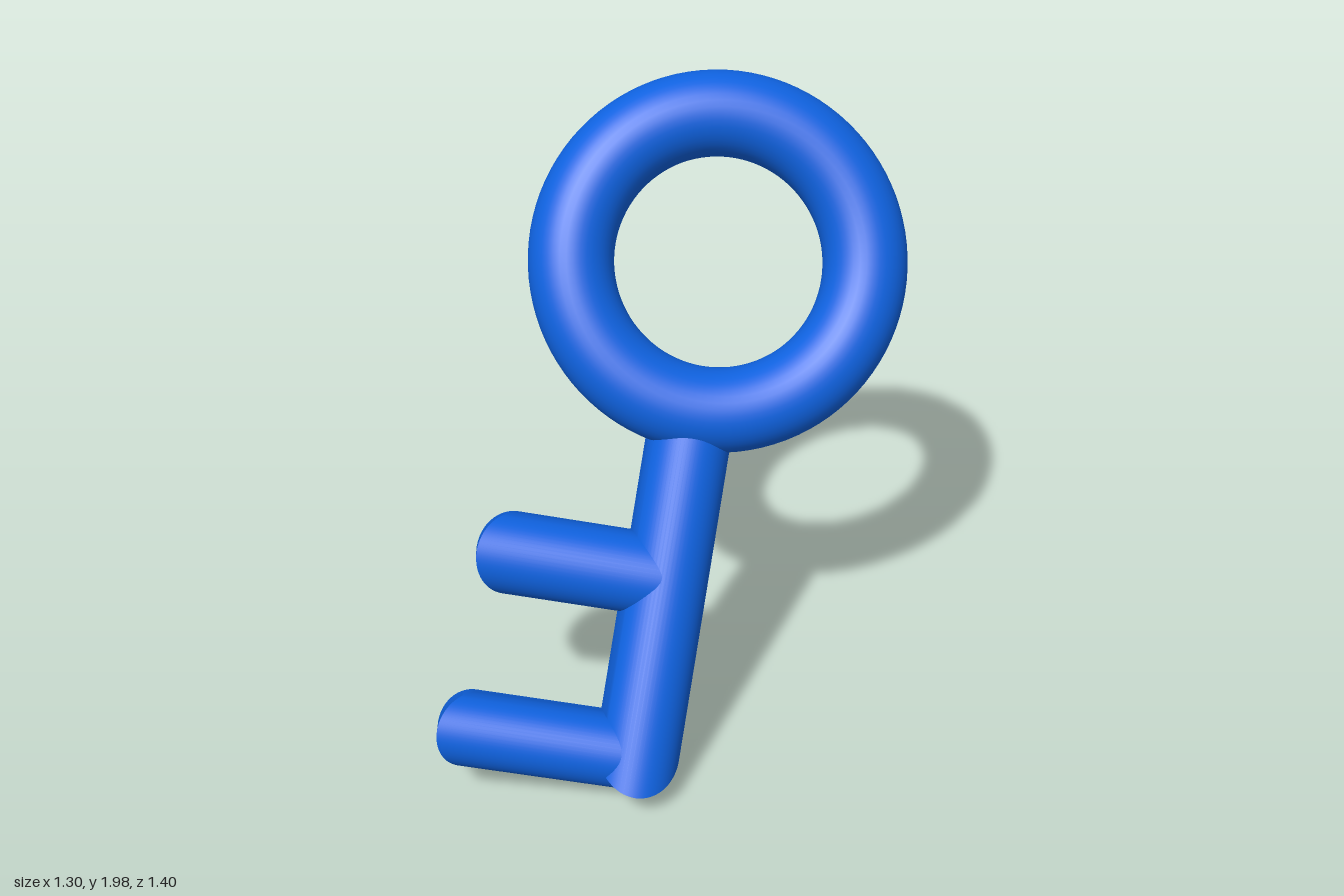
import * as THREE from 'three';
import { toCreasedNormals } from 'three/addons/utils/BufferGeometryUtils.js';

const material = new THREE.MeshStandardMaterial({ color: 0x0f62e0 });

// Bar along +x: flat back at z = 0, low side walls, domed front, far end rounded in plan.
function domedBar(length, halfWidth, wall, endRound) {
  const steps = 32, positions = [], index = [];
  for (let i = 0; i <= steps; i++) {
    const angle = Math.PI * (1 - i / steps);
    const y = halfWidth * Math.cos(angle), rise = Math.sin(angle);
    const end = length - endRound * (1 - rise), top = wall + halfWidth * rise;
    positions.push(0, y, 0, end, y, 0, end, y, top, 0, y, top);
  }
  for (let i = 0; i < steps; i++) {
    for (let j = 0; j < 4; j++) {
      const a = i * 4 + j, b = i * 4 + (j + 1) % 4;
      index.push(a, a + 4, b + 4, a, b + 4, b);
    }
  }
  const e = steps * 4;
  index.push(0, 1, 2, 0, 2, 3, e, e + 2, e + 1, e, e + 3, e + 2); // side walls
  const geometry = new THREE.BufferGeometry();
  geometry.setAttribute('position', new THREE.Float32BufferAttribute(positions, 3));
  geometry.setIndex(index);
  return toCreasedNormals(geometry, 0.6);
}

export function createModel() {
  const key = new THREE.Group();
  key.name = 'key';

  const add = (name, geometry, x, y, z, turn = 0) => {
    const mesh = new THREE.Mesh(geometry, material);
    mesh.name = name;
    mesh.position.set(x, y, z);
    mesh.rotation.z = turn;
    key.add(mesh);
  };

  const shaftX = -0.15, backZ = 0.39, wall = 0.05;

  // Ring handle
  add('ringHandle', new THREE.TorusGeometry(0.457, 0.132, 40, 96), shaftX, 1.418, 0.478);

  // Shaft, running down from inside the ring
  add('shaft', domedBar(1.2, 0.13, wall, 0.13), shaftX, 0.96, backZ, -Math.PI / 2);

  // Teeth
  add('upperTooth', domedBar(0.594, 0.127, wall, 0.11), shaftX, 0.43, backZ, Math.PI);
  add('lowerTooth', domedBar(0.625, 0.115, wall, 0.1), shaftX, -0.125, backZ, Math.PI);

  // Lean the key back and to the side
  const up = new THREE.Vector3(0.064, 0.847, -0.525).normalize();
  const across = new THREE.Vector3(0.962, -0.1925, -0.1925);
  const out = across.clone().cross(up).normalize();
  across.crossVectors(up, out);
  key.quaternion.setFromRotationMatrix(new THREE.Matrix4().makeBasis(across, up, out));

  const model = new THREE.Group();
  model.add(key);
  return model;
}
